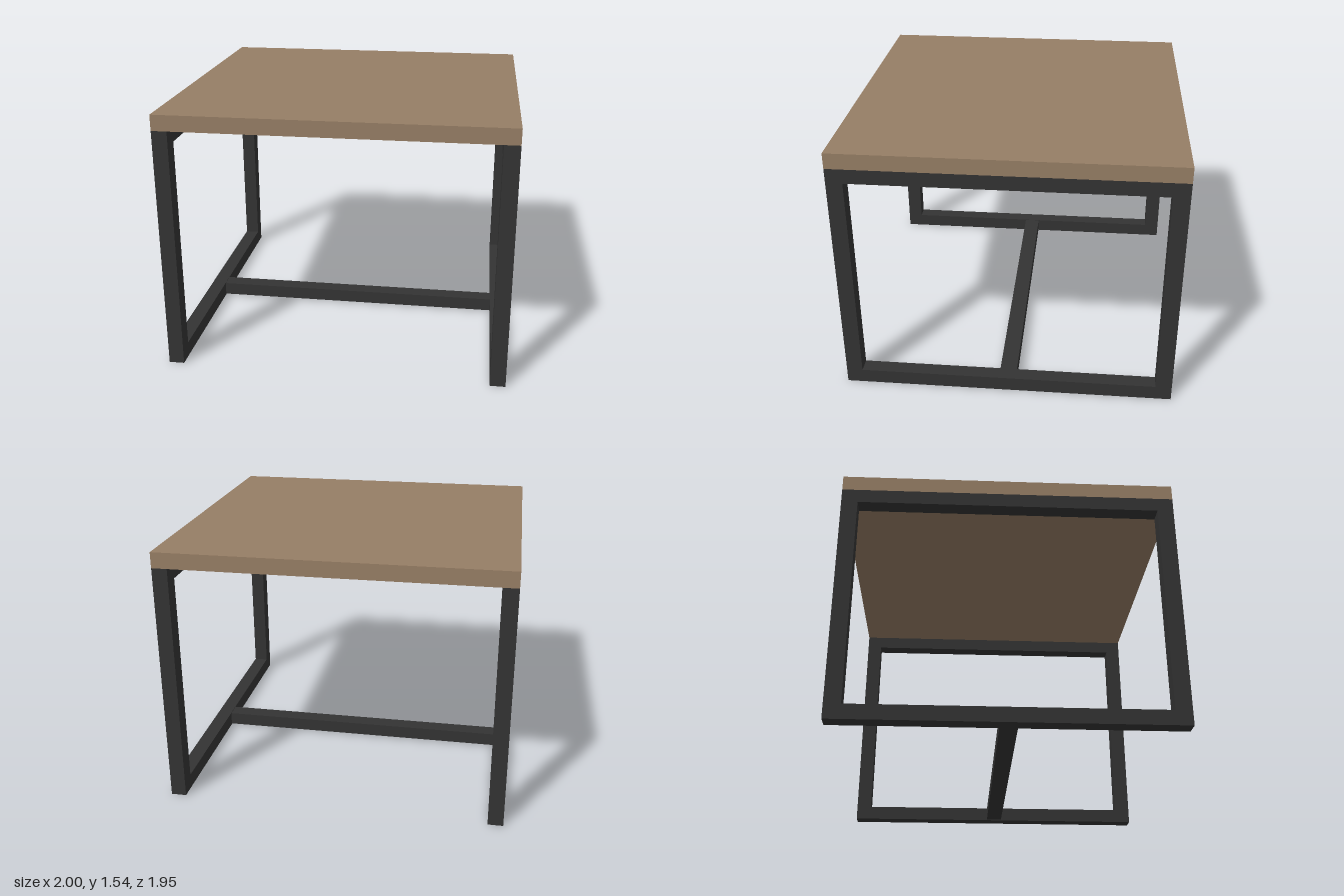
import * as THREE from 'three';

const W = 1, D = 0.977;            // half width and half depth
const FRAME_TOP = 1.445, TOP = 1.537;
const BAR = 0.09;                  // frame tube thickness

// Rectangle outline between two corners
function rect(PathType, x0, y0, x1, y1) {
  return new PathType([[x0, y0], [x1, y0], [x1, y1], [x0, y1]].map(([x, y]) => new THREE.Vector2(x, y)));
}

export function createModel() {
  const model = new THREE.Group();
  model.name = 'sideTable';
  const wood = new THREE.MeshStandardMaterial({ color: 0x967e65 });
  wood.name = 'brown wood';
  const metal = new THREE.MeshStandardMaterial({ color: 0x333333 });
  metal.name = 'dark metal';

  const add = (name, geometry, material, x, y, z) => {
    const mesh = new THREE.Mesh(geometry, material);
    mesh.name = name;
    mesh.position.set(x, y, z);
    model.add(mesh);
  };

  // Tabletop slab
  add('tabletop', new THREE.BoxGeometry(2 * W, TOP - FRAME_TOP, 2 * D), wood, 0, (TOP + FRAME_TOP) / 2, 0);

  // Closed rectangular leg frame on each side
  const outline = rect(THREE.Shape, -D, 0, D, FRAME_TOP);
  outline.holes.push(rect(THREE.Path, -0.882, 0.087, 0.882, 1.36));
  const frame = new THREE.ExtrudeGeometry(outline, { depth: BAR, bevelEnabled: false });
  frame.translate(0, 0, -BAR / 2).rotateY(Math.PI / 2);
  for (const [name, side] of [['leftLegFrame', 1], ['rightLegFrame', -1]]) {
    add(name, frame, metal, side * (W - BAR / 2), 0, 0);
  }

  // Low stretcher joining the two frames
  add('stretcher', new THREE.BoxGeometry(2 * (W - BAR), 0.08, 0.1), metal, 0, 0.045, 0);

  return model;
}
